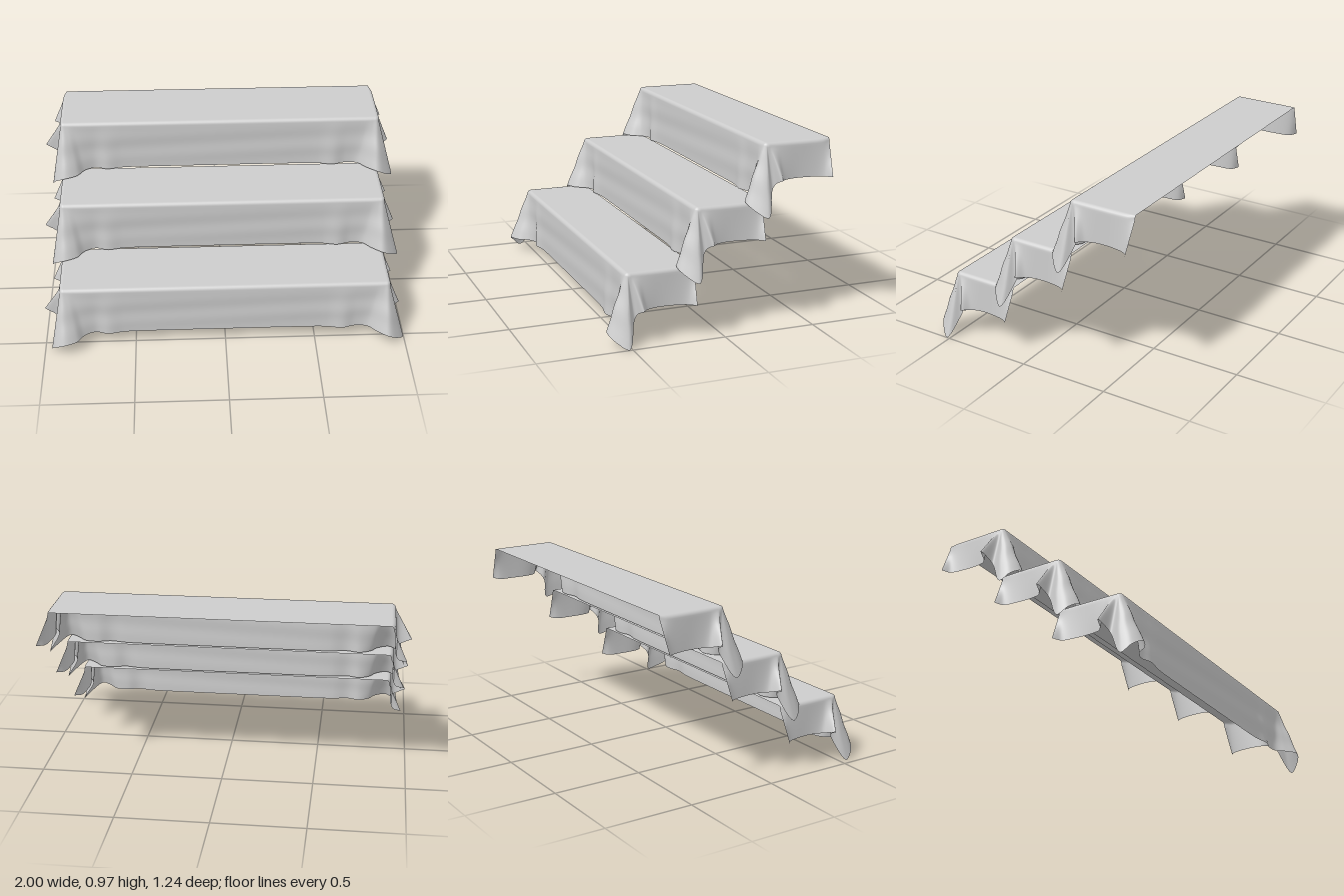
import * as THREE from 'three';

const cloth = new THREE.MeshStandardMaterial({ color: 0xcccccc, side: THREE.DoubleSide });
cloth.name = 'pale grey cloth';

const TOP = 0.372, BACK = 0.13, R = 0.022, HALF = 0.907, FRONT = 0.507;

// Stations along the cloth edge: [edge x, edge z, hem x, hem y, hem z]
const rightStations = [
  [0.895, 0.13, 0.97, 0.18, 0.142],
  [0.905, 0.17, 0.93, 0.176, 0.17],
  [0.907, 0.25, 0.912, 0.178, 0.25],
  [0.907, 0.35, 0.912, 0.178, 0.35],
  [0.907, 0.42, 0.93, 0.178, 0.40],
  [0.907, 0.465, 0.972, 0.185, 0.43],
  [0.907, 0.48, 0.93, 0.16, 0.45],
  [0.905, 0.488, 0.925, 0.13, 0.465],
  [0.903, 0.493, 0.998, 0.005, 0.515],
  [0.898, 0.50, 0.965, 0.03, 0.565],
  [0.89, 0.506, 0.90, 0.075, 0.605],
  [0.87, 0.507, 0.84, 0.08, 0.565],
  [0.83, 0.507, 0.79, 0.08, 0.515],
  [0.73, 0.507, 0.72, 0.08, 0.507],
  [0.65, 0.507, 0.65, 0.08, 0.525],
  [0.56, 0.507, 0.56, 0.08, 0.51],
  [0.30, 0.507, 0.30, 0.08, 0.506],
];
// The left corner falls a little differently
const leftStations = rightStations.map((s) => [...s]);
leftStations[5] = [0.907, 0.465, 0.998, 0.198, 0.43];
leftStations[8] = [0.903, 0.493, 0.965, 0.005, 0.54];
leftStations[9] = [0.898, 0.50, 0.945, 0.045, 0.59];
leftStations[10] = [0.89, 0.506, 0.89, 0.078, 0.62];
leftStations[11] = [0.87, 0.507, 0.82, 0.08, 0.59];
leftStations[12] = [0.83, 0.507, 0.78, 0.08, 0.535];

const stations = [
  ...rightStations,
  [0, 0.507, 0, 0.08, 0.506],
  ...leftStations.map(([x, z, hx, hy, hz]) => [-x, z, -hx, hy, hz]).reverse(),
];

// Hanging skirt: rounded rim followed by a loft from the edge down to the hem
function skirtGeometry() {
  const edge = new THREE.CatmullRomCurve3(stations.map(([x, z]) => new THREE.Vector3(x, TOP - R, z)));
  const hem = new THREE.CatmullRomCurve3(stations.map((s) => new THREE.Vector3(s[2], s[3], s[4])));
  const cols = (stations.length - 1) * 6, arc = 5, drop = 14;
  const pos = [], index = [];
  for (let r = 0; r <= arc + drop; r++) {
    for (let c = 0; c <= cols; c++) {
      const e = edge.getPoint(c / cols), h = hem.getPoint(c / cols);
      if (r <= arc) {
        const a = (r / arc) * Math.PI / 2;
        const ix = THREE.MathUtils.clamp(e.x, -HALF + R, HALF - R);
        const iz = Math.min(e.z, FRONT - R);
        pos.push(ix + (e.x - ix) * Math.sin(a), TOP - R + R * Math.cos(a), iz + (e.z - iz) * Math.sin(a));
      } else {
        const t = (r - arc) / drop;
        const p = e.lerp(h, t);
        // faint sagging ripples across the front
        const ripple = p.z > 0.5 ? 0.0025 * Math.sin(t * 11 + p.x * 2) * Math.sin(t * Math.PI) : 0;
        pos.push(p.x, p.y, p.z + ripple);
      }
    }
  }
  const w = cols + 1;
  for (let r = 0; r < arc + drop; r++) {
    for (let c = 0; c < cols; c++) {
      const a = r * w + c, b = a + 1, d = a + w;
      index.push(a, b, d, b, d + 1, d);
    }
  }
  const g = new THREE.BufferGeometry();
  g.setAttribute('position', new THREE.Float32BufferAttribute(pos, 3));
  g.setIndex(index);
  g.computeVertexNormals();
  // the rim meets the flat top without a crease
  for (let c = 0; c < w; c++) g.attributes.normal.setXYZ(c, 0, 1, 0);
  return g;
}

// Flat cloth on top of the tread
function topGeometry() {
  const front = FRONT - R;
  const g = new THREE.PlaneGeometry((HALF - R) * 2, front - BACK);
  g.rotateX(-Math.PI / 2);
  g.translate(0, TOP, (front + BACK) / 2);
  return g;
}

export function createModel() {
  const model = new THREE.Group();
  model.name = 'drapedSteps';
  const skirt = skirtGeometry(), top = topGeometry();
  for (let i = 0; i < 3; i++) {
    const step = new THREE.Group();
    step.name = ['lowerDrape', 'middleDrape', 'upperDrape'][i];
    const skirtMesh = new THREE.Mesh(skirt, cloth);
    skirtMesh.name = 'hangingSkirt';
    const topMesh = new THREE.Mesh(top, cloth);
    topMesh.name = 'flatTop';
    step.add(skirtMesh, topMesh);
    step.position.set(0, i * 0.301, i * -0.375);
    model.add(step);
  }
  return model;
}
